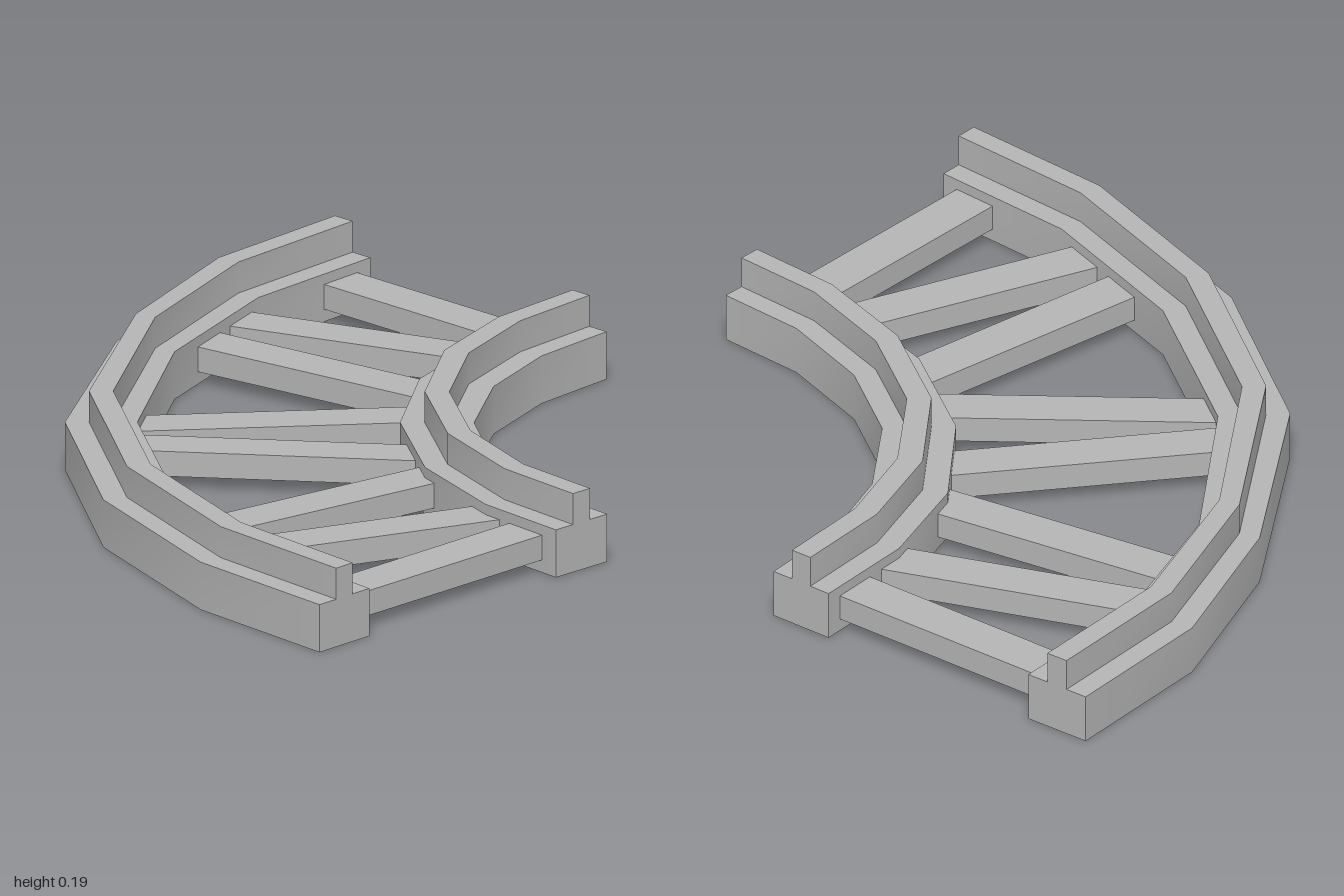
import * as THREE from 'three';
import { toCreasedNormals } from 'three/addons/utils/BufferGeometryUtils.js';

const BASE_TOP = 0.115, RAIL_TOP = 0.19;

// Stepped rail section: fraction across the rail, height. Open underneath.
const SECTION = [
  [0, 0], [0, BASE_TOP], [1 / 3, BASE_TOP], [1 / 3, RAIL_TOP],
  [2 / 3, RAIL_TOP], [2 / 3, BASE_TOP], [1, BASE_TOP], [1, 0],
];

// Plan outlines [x, z] of each rail: convex edge and concave edge
const OUTER_RAIL = {
  convex: [[-1, -0.85], [-0.945, -0.44], [-0.755, -0.02], [-0.39, 0.46], [0.095, 0.77], [0.585, 0.905], [1, 0.907]],
  concave: [[-0.83, -0.863], [-0.78, -0.475], [-0.61, -0.07], [-0.28, 0.335], [0.165, 0.615], [0.605, 0.737], [0.985, 0.742]],
};
const INNER_RAIL = {
  convex: [[-0.23, -0.9], [-0.195, -0.63], [-0.09, -0.36], [0.12, -0.115], [0.405, 0.06], [0.7, 0.135], [0.947, 0.138]],
  concave: [[-0.065, -0.91], [-0.03, -0.68], [0.065, -0.45], [0.235, -0.24], [0.46, -0.1], [0.71, -0.03], [0.938, -0.027]],
};

// Ties: [x, z] at the outer rail, then at the inner rail
const TIES = [
  [-0.82, -0.76, -0.21, -0.8],
  [-0.75, -0.39, -0.18, -0.645],
  [-0.69, -0.235, -0.075, -0.365],
  [-0.325, 0.285, 0.04, -0.225],
  [-0.215, 0.375, 0.25, -0.04],
  [0.345, 0.665, 0.395, 0.04],
  [0.505, 0.71, 0.69, 0.13],
  [0.885, 0.74, 0.84, 0.13],
];

// Sweep the section between the two edges and close both ends
function railGeometry({ convex, concave }) {
  const pos = [];
  const point = (i, [t, y]) => [
    THREE.MathUtils.lerp(convex[i][0], concave[i][0], t), y,
    THREE.MathUtils.lerp(convex[i][1], concave[i][1], t),
  ];
  const quad = (a, b, c, d) => pos.push(...a, ...b, ...c, ...a, ...c, ...d);
  const last = convex.length - 1;
  for (let i = 0; i < last; i++) {
    for (let k = 0; k < SECTION.length - 1; k++) {
      quad(point(i, SECTION[k]), point(i + 1, SECTION[k]), point(i + 1, SECTION[k + 1]), point(i, SECTION[k + 1]));
    }
  }
  for (const corners of [[0, 7, 6, 1], [2, 5, 4, 3]]) {
    quad(...corners.map((k) => point(last, SECTION[k])));
    quad(...corners.map((k) => point(0, SECTION[k])).reverse());
  }
  const geo = new THREE.BufferGeometry();
  geo.setAttribute('position', new THREE.Float32BufferAttribute(pos, 3));
  return toCreasedNormals(geo, 0.6);
}

// Box without its bottom face
function tieGeometry(length) {
  const geo = new THREE.BoxGeometry(length, 0.06, 0.115);
  const index = Array.from(geo.index.array);
  index.splice(18, 6);
  geo.setIndex(index);
  geo.clearGroups();
  return geo;
}

export function createModel() {
  const model = new THREE.Group();
  model.name = 'curvedTrack';
  const grey = new THREE.MeshStandardMaterial({ color: 0xb4b4b4, side: THREE.DoubleSide });
  grey.name = 'grey';

  const add = (name, geo) => {
    const mesh = new THREE.Mesh(geo, grey);
    mesh.name = name;
    model.add(mesh);
    return mesh;
  };

  add('outerRail', railGeometry(OUTER_RAIL));
  add('innerRail', railGeometry(INNER_RAIL));

  // Ties run slightly into both rails
  TIES.forEach(([x0, z0, x1, z1], i) => {
    const tie = add(`tie${i + 1}`, tieGeometry(Math.hypot(x1 - x0, z1 - z0) + 0.08));
    tie.position.set((x0 + x1) / 2, 0.06, (z0 + z1) / 2);
    tie.rotation.y = -Math.atan2(z1 - z0, x1 - x0);
  });

  return model;
}
